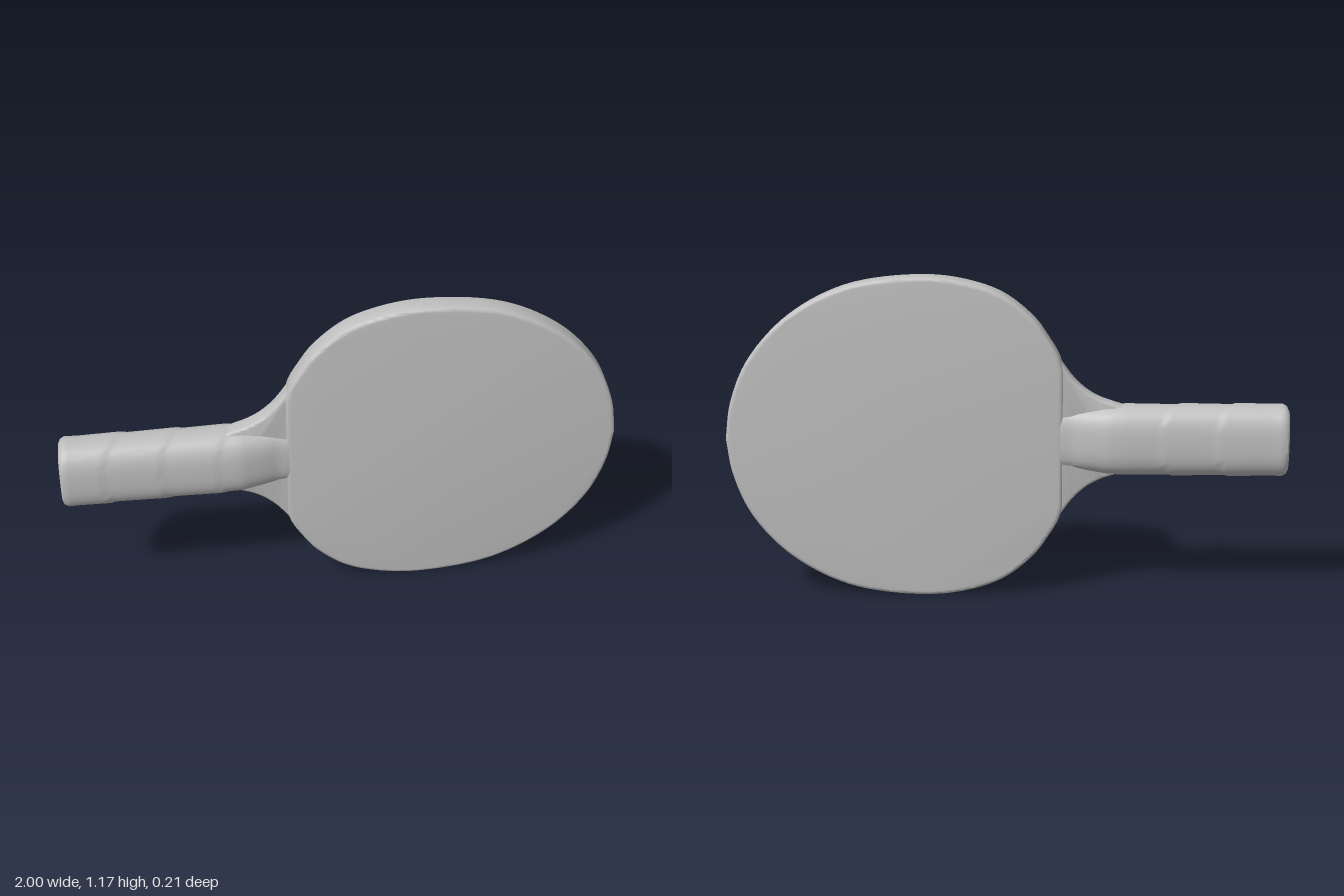
import * as THREE from 'three';
import { toCreasedNormals, mergeVertices } from 'three/addons/utils/BufferGeometryUtils.js';

const MID_Y = 0.585;

// The whole bat leans back slightly towards the tip of the blade.
function lean(geometry) {
  const p = geometry.attributes.position;
  for (let i = 0; i < p.count; i++) {
    p.setZ(i, p.getZ(i) - 0.028 - 0.04 * p.getX(i));
  }
  return geometry;
}

// Closed outline from its upper half, mirrored about the long axis.
function mirroredShape(upper, samples) {
  const curve = new THREE.CatmullRomCurve3(upper.map(([x, y]) => new THREE.Vector3(x, y, 0)), false, 'centripetal');
  const top = curve.getPoints(samples).map(v => new THREE.Vector2(v.x, v.y));
  const bottom = top.slice().reverse().filter(v => v.y > 1e-4).map(v => new THREE.Vector2(v.x, -v.y));
  return new THREE.Shape([...top, ...bottom]);
}

function slab(shape, thickness, bevel) {
  let g = new THREE.ExtrudeGeometry(shape, {
    depth: thickness - 2 * bevel, bevelThickness: bevel, bevelSize: bevel,
    bevelOffset: -bevel, bevelSegments: 3, curveSegments: 1,
  });
  g.translate(0, MID_Y, -thickness / 2 + bevel);
  return toCreasedNormals(lean(g), 0.6);
}

// Handle: rounded cross-sections swept along x, with slanted tape ridges.
function handleGeometry() {
  const stations = [ // x, half height, half depth
    [-1, 0.108, 0.072], [-0.994, 0.12, 0.083], [-0.98, 0.128, 0.088], [-0.7, 0.127, 0.085],
    [-0.42, 0.125, 0.086], [-0.36, 0.123, 0.083], [-0.29, 0.113, 0.066],
    [-0.23, 0.106, 0.048], [-0.19, 0.104, 0.045],
  ];
  const xs = [-1, -0.994, -0.98];
  for (let x = -0.965; x < -0.19; x += 0.015) xs.push(x);
  xs.push(-0.19);
  const at = (x, k) => {
    let i = 0;
    while (i < stations.length - 2 && stations[i + 1][0] < x) i++;
    const [a, b] = [stations[i], stations[i + 1]];
    return THREE.MathUtils.lerp(a[k], b[k], (x - a[0]) / (b[0] - a[0]));
  };
  const N = 48, pos = [], index = [];
  const round = v => Math.sign(v) * Math.abs(v) ** 0.72;
  for (const x of xs) {
    for (let j = 0; j < N; j++) {
      const t = (j / N) * Math.PI * 2;
      // The tape overlaps once per turn and fades out at both ends.
      const turn = (x + 1) / 0.2 + 0.25 * Math.sin(t);
      const fade = THREE.MathUtils.smoothstep(x, -0.98, -0.92) * (1 - THREE.MathUtils.smoothstep(x, -0.42, -0.34));
      const r = 1 + 0.035 * fade * (turn - Math.floor(turn) - 0.5);
      pos.push(x, MID_Y - 0.004 + at(x, 1) * r * round(Math.cos(t)), at(x, 2) * r * round(Math.sin(t)));
    }
  }
  for (let i = 0; i < xs.length - 1; i++) {
    for (let j = 0; j < N; j++) {
      const a = i * N + j, b = i * N + (j + 1) % N;
      index.push(a, b, a + N, b, b + N, a + N);
    }
  }
  // End caps
  const last = (xs.length - 1) * N, c0 = pos.length / 3;
  pos.push(xs[0], MID_Y, 0, xs[xs.length - 1], MID_Y, 0);
  for (let j = 0; j < N; j++) {
    const k = (j + 1) % N;
    index.push(c0, k, j, c0 + 1, last + j, last + k);
  }
  const g = new THREE.BufferGeometry();
  g.setAttribute('position', new THREE.Float32BufferAttribute(pos, 3));
  g.setIndex(index);
  return toCreasedNormals(mergeVertices(lean(g)), 0.7);
}

export function createModel() {
  const group = new THREE.Group();
  group.name = 'tableTennisBat';
  const grey = new THREE.MeshStandardMaterial({ color: 0xc0c0c0 });
  grey.name = 'lightGrey';
  const add = (name, geometry) => {
    const mesh = new THREE.Mesh(geometry, grey);
    mesh.name = name;
    group.add(mesh);
  };

  // Blade with its straight edge next to the handle
  add('blade', slab(mirroredShape([
    [-0.2, 0.25], [-0.185, 0.3], [-0.15, 0.36], [-0.1, 0.43], [0.01, 0.52], [0.14, 0.567], [0.3, 0.585],
    [0.57, 0.548], [0.78, 0.435], [0.915, 0.285], [0.98, 0.13], [1, 0],
  ], 80), 0.086, 0.014));

  // Thinner flared shoulders between handle and blade
  add('neck', slab(mirroredShape([
    [-0.43, 0.115], [-0.39, 0.127], [-0.33, 0.148], [-0.285, 0.174], [-0.24, 0.215], [-0.2, 0.268], [-0.16, 0.33],
  ], 32), 0.066, 0.01));

  add('handle', handleGeometry());
  return group;
}
